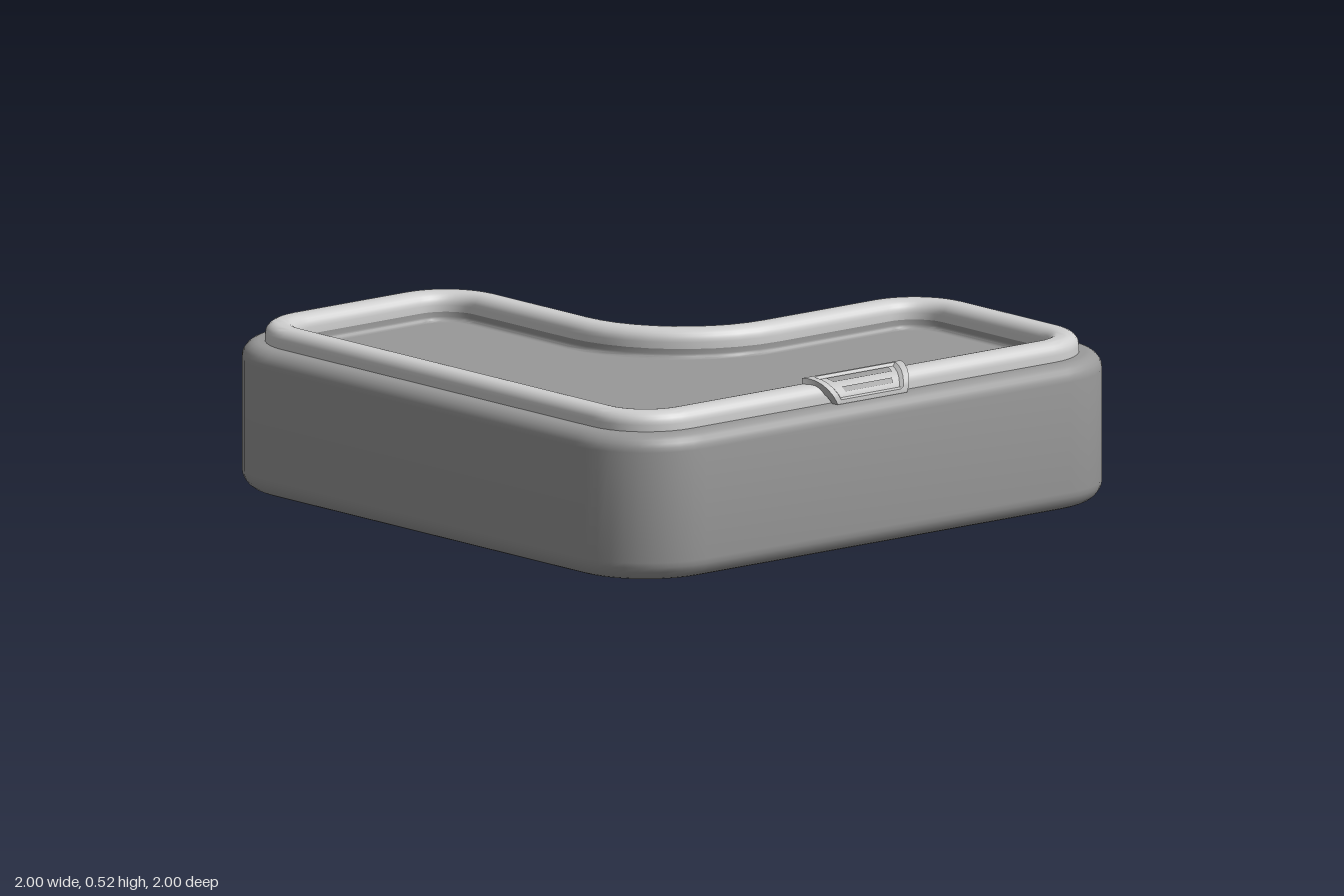
import * as THREE from 'three';
import { toCreasedNormals } from 'three/addons/utils/BufferGeometryUtils.js';

const R = 0.28; // plan corner radius
// centre x, centre depth (-z), start angle in quarter turns, concave?
const CORNERS = [
  [-0.72, -0.72, 2, false], [0.72, -0.72, 3, false], [0.72, -0.28, 0, false],
  [0.28, 0.28, 3, true], [-0.28, 0.72, 0, false], [-0.72, 0.72, 1, false],
];

// L-shaped outline, moved inwards by inset, as [x, z]
function outline(inset, steps = 10) {
  const pts = [];
  for (const [cx, cy, q, concave] of CORNERS) {
    const r = concave ? R + inset : R - inset;
    for (let i = 0; i <= steps; i++) {
      const a = (q + (concave ? -1 : 1) * i / steps) * Math.PI / 2;
      pts.push([cx + r * Math.cos(a), -(cy + r * Math.sin(a))]);
    }
  }
  return pts;
}

// Grid of rows into a surface, optionally closed round each row
function skin(rows, closed, crease) {
  const n = rows[0].length, pos = rows.flat(2), idx = [];
  for (let i = 0; i < rows.length - 1; i++) {
    for (let j = 0; j < (closed ? n : n - 1); j++) {
      const k = (j + 1) % n, a = i * n + j, b = i * n + k, c = b + n, d = a + n;
      idx.push(a, b, c, a, c, d);
    }
  }
  const g = new THREE.BufferGeometry();
  g.setAttribute('position', new THREE.Float32BufferAttribute(pos, 3));
  g.setIndex(idx);
  return toCreasedNormals(g, crease);
}

// Sweep an [inset, y] profile round the outline
const sweep = (profile) =>
  skin(profile.map(([d, y]) => outline(d).map(([x, z]) => [x, y, z])), true, 0.7);

// Quarter-round [inset, y] points
function arc(cx, cy, r, from, to, steps = 6) {
  return Array.from({ length: steps + 1 }, (_, i) => {
    const a = THREE.MathUtils.degToRad(from + (to - from) * i / steps);
    return [cx + r * Math.cos(a), cy + r * Math.sin(a)];
  });
}

function floorGeometry(inset, y, up) {
  const s = new THREE.Shape(outline(inset).map(([x, z]) => new THREE.Vector2(x, up ? -z : z)));
  return new THREE.ShapeGeometry(s).rotateX(up ? -Math.PI / 2 : Math.PI / 2).translate(0, y, 0);
}

export function createModel() {
  const model = new THREE.Group();
  const bodyGrey = new THREE.MeshStandardMaterial({ color: 0x999999 });
  bodyGrey.name = 'bodyGrey';
  const rimGrey = new THREE.MeshStandardMaterial({ color: 0xcfcfcf });
  rimGrey.name = 'rimGrey';
  const clipGrey = new THREE.MeshStandardMaterial({ color: 0xc4c4c4, side: THREE.DoubleSide });
  clipGrey.name = 'clipGrey';

  const add = (name, geometry, material) => {
    const m = new THREE.Mesh(geometry, material);
    m.name = name;
    model.add(m);
  };

  // Body shell: rolled foot, wall, shoulder, then the inner lip
  add('body', sweep([
    [0.12, 0.04],
    ...arc(0.08, 0.04, 0.04, 0, -90),
    ...arc(0.06, 0.06, 0.06, -90, -180),
    ...arc(0.05, 0.4, 0.05, 180, 90),
    [0.165, 0.45],
    ...arc(0.18, 0.435, 0.015, 180, 270, 4),
  ]), bodyGrey);
  add('innerFloor', floorGeometry(0.18, 0.42, true), bodyGrey);
  add('underside', floorGeometry(0.12, 0.04, false), bodyGrey);

  // Rounded raised rim
  add('rim', sweep([
    [0.07, 0.44],
    ...arc(0.107, 0.47, 0.037, 180, 90),
    ...arc(0.128, 0.47, 0.037, 90, 0),
    [0.165, 0.45],
  ]), rimGrey);

  // Clip draped over the front of the rim: curved tapered plate with a recess
  const cx = -0.03;
  const clipPoint = (u, t, lift) => {
    const a = THREE.MathUtils.lerp(100, 0, t) * Math.PI / 180;
    const half = THREE.MathUtils.lerp(0.2, 0.14, t);
    return [cx + u * half, 0.45 + (0.072 + lift) * Math.sin(a), 0.877 + (0.083 + lift) * Math.cos(a)];
  };
  const us = [-1, -0.98, -0.84, -0.78, 0.78, 0.84, 0.98, 1];
  const ts = [0, 0.02, 0.1, 0.15, 0.3, 0.45, 0.6, 0.75, 0.85, 0.9, 0.98, 1];
  const rows = ts.map((t) => us.map((u) => {
    if (Math.abs(u) === 1 || t === 0) return clipPoint(u, t, -0.02);
    const recessed = Math.abs(u) < 0.8 && t > 0.12 && t < 0.87;
    return clipPoint(u, t, recessed ? -0.006 : 0.003);
  })).reverse();
  add('clip', skin(rows, false, 0.5), clipGrey);

  // Two darker grip strips on the clip
  const strip = (t0, t1, u) => skin([0, 0.33, 0.67, 1].map((k) => {
    const t = THREE.MathUtils.lerp(t1, t0, k);
    return [-u, u].map((v) => clipPoint(v, t, -0.003));
  }), false, 0.7);
  add('upperGrip', strip(0.2, 0.4, 0.66), bodyGrey);
  add('lowerGrip', strip(0.58, 0.72, 0.6), bodyGrey);

  return model;
}
